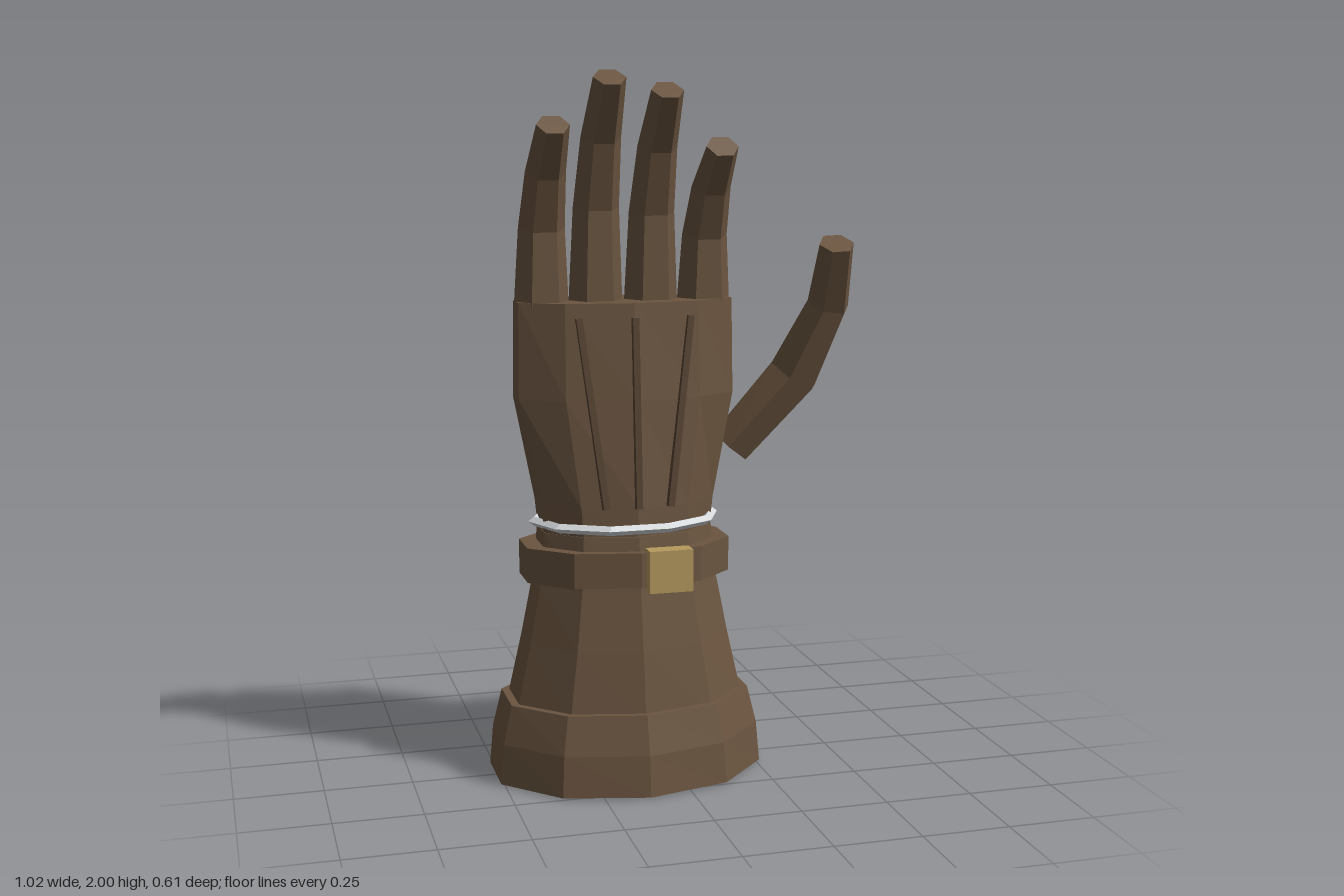
import * as THREE from 'three';

const mat = (name, color, side = THREE.FrontSide) => {
  const m = new THREE.MeshStandardMaterial({ color, side });
  m.name = name;
  return m;
};

// Skin a list of equal-sized point loops with flat faces, capping both ends
function loft(loops) {
  const pos = [];
  const n = loops[0].length;
  const tri = (...pts) => pts.forEach((p) => pos.push(p.x, p.y, p.z));
  for (let k = 0; k < loops.length - 1; k++) {
    const a = loops[k], b = loops[k + 1];
    for (let i = 0; i < n; i++) {
      const j = (i + 1) % n;
      tri(a[i], b[i], b[j]);
      tri(a[i], b[j], a[j]);
    }
  }
  const first = loops[0], last = loops[loops.length - 1];
  for (let i = 1; i < n - 1; i++) {
    tri(first[0], first[i], first[i + 1]);
    tri(last[0], last[i + 1], last[i]);
  }
  const g = new THREE.BufferGeometry();
  g.setAttribute('position', new THREE.Float32BufferAttribute(pos, 3));
  g.computeVertexNormals();
  return g;
}

// Ten-sided elliptical body from [y, rx, rz] sections
const CX = -0.125;
function ellipseBody(sections) {
  return loft(sections.map(([y, rx, rz]) =>
    Array.from({ length: 10 }, (_, i) => {
      const a = ((i + 0.5) / 10) * Math.PI * 2;
      return new THREE.Vector3(CX + Math.cos(a) * rx, y, Math.sin(a) * rz);
    })));
}

// Six-sided tapering digit along [x, y, z, radius] joints
function digit(joints, depth = 0.9) {
  const p = joints.map(([x, y, z]) => new THREE.Vector3(x, y, z));
  return loft(joints.map((joint, k) => {
    const t = new THREE.Vector3();
    if (k > 0) t.add(p[k].clone().sub(p[k - 1]).normalize());
    if (k < p.length - 1) t.add(p[k + 1].clone().sub(p[k]).normalize());
    t.normalize();
    const u = new THREE.Vector3(1, 0, 0);
    u.addScaledVector(t, -u.dot(t)).normalize();
    const v = u.clone().cross(t);
    return Array.from({ length: 6 }, (_, i) => {
      const a = (i / 6) * Math.PI * 2;
      return p[k].clone()
        .addScaledVector(u, Math.cos(a) * joint[3])
        .addScaledVector(v, Math.sin(a) * joint[3] * depth);
    });
  }));
}

export function createModel() {
  const group = new THREE.Group();
  group.name = 'glove';
  const leather = mat('brown leather', 0x6b5540);
  const seam = mat('dark seam', 0x554230);
  const silver = mat('silver', 0xd4d7da);
  const brass = mat('brass', 0xb59a5e);
  const lining = mat('dark lining', 0x05050f);

  const add = (name, geometry, material) => {
    const m = new THREE.Mesh(geometry, material);
    m.name = name;
    group.add(m);
    return m;
  };

  // Gauntlet: flared cuff, forearm, wrist strap and palm
  add('cuff', ellipseBody([[0.004, 0.405, 0.305], [0.12, 0.395, 0.293], [0.23, 0.368, 0.266]]), leather);
  add('forearm', ellipseBody([[0.2, 0.352, 0.253], [0.4, 0.306, 0.225], [0.57, 0.272, 0.198], [0.72, 0.257, 0.178]]), leather);
  add('strap', ellipseBody([[0.58, 0.311, 0.205], [0.68, 0.311, 0.205]]), leather);
  add('palm', ellipseBody([[0.7, 0.253, 0.172], [0.8, 0.264, 0.168], [1.1, 0.327, 0.148], [1.37, 0.324, 0.13]]), leather);

  // Dark opening under the cuff
  add('opening', ellipseBody([[0, 0.315, 0.235], [0.006, 0.315, 0.235]]), lining);

  // Strap buckle
  const buckle = add('buckle', new THREE.BoxGeometry(0.125, 0.12, 0.05), brass);
  buckle.position.set(-0.047, 0.63, 0.211);

  // Silver wrist band
  const band = new THREE.TorusGeometry(0.263, 0.017, 4, 10)
    .rotateX(Math.PI / 2).scale(1, 0.8, 0.73).toNonIndexed();
  band.computeVertexNormals();
  add('wristBand', band, silver).position.set(CX, 0.743, 0);

  // Raised seams on the front of the hand
  for (const [top, bottom] of [[-0.28, -0.215], [-0.125, -0.125], [0.04, -0.03]]) {
    const a = new THREE.Vector3(bottom, 0.8, bottom === -0.125 ? 0.175 : 0.161);
    const b = new THREE.Vector3(top, 1.33, top === -0.125 ? 0.137 : 0.114);
    const dir = b.clone().sub(a);
    const s = add('seam', new THREE.BoxGeometry(0.018, dir.length(), 0.026), seam);
    s.position.copy(a).add(b).multiplyScalar(0.5);
    s.quaternion.setFromUnitVectors(new THREE.Vector3(0, 1, 0), dir.normalize());
  }

  // Four curling fingers: [x, length]
  for (const [x, len] of [[-0.36, 0.5], [-0.205, 0.625], [-0.045, 0.592], [0.11, 0.442]]) {
    add('finger', digit([
      [x, 1.355, 0, 0.078],
      [x, 1.355 + len * 0.44, 0.013, 0.066],
      [x, 1.355 + len * 0.75, 0.078, 0.057],
      [x, 1.355 + len, 0.185, 0.046],
    ]), leather);
  }

  // Thumb
  add('thumb', digit([
    [0.2, 0.935, -0.01, 0.07],
    [0.37, 1.145, 0.045, 0.08],
    [0.443, 1.355, 0.125, 0.063],
    [0.432, 1.53, 0.218, 0.05],
  ], 1), leather);

  return group;
}
